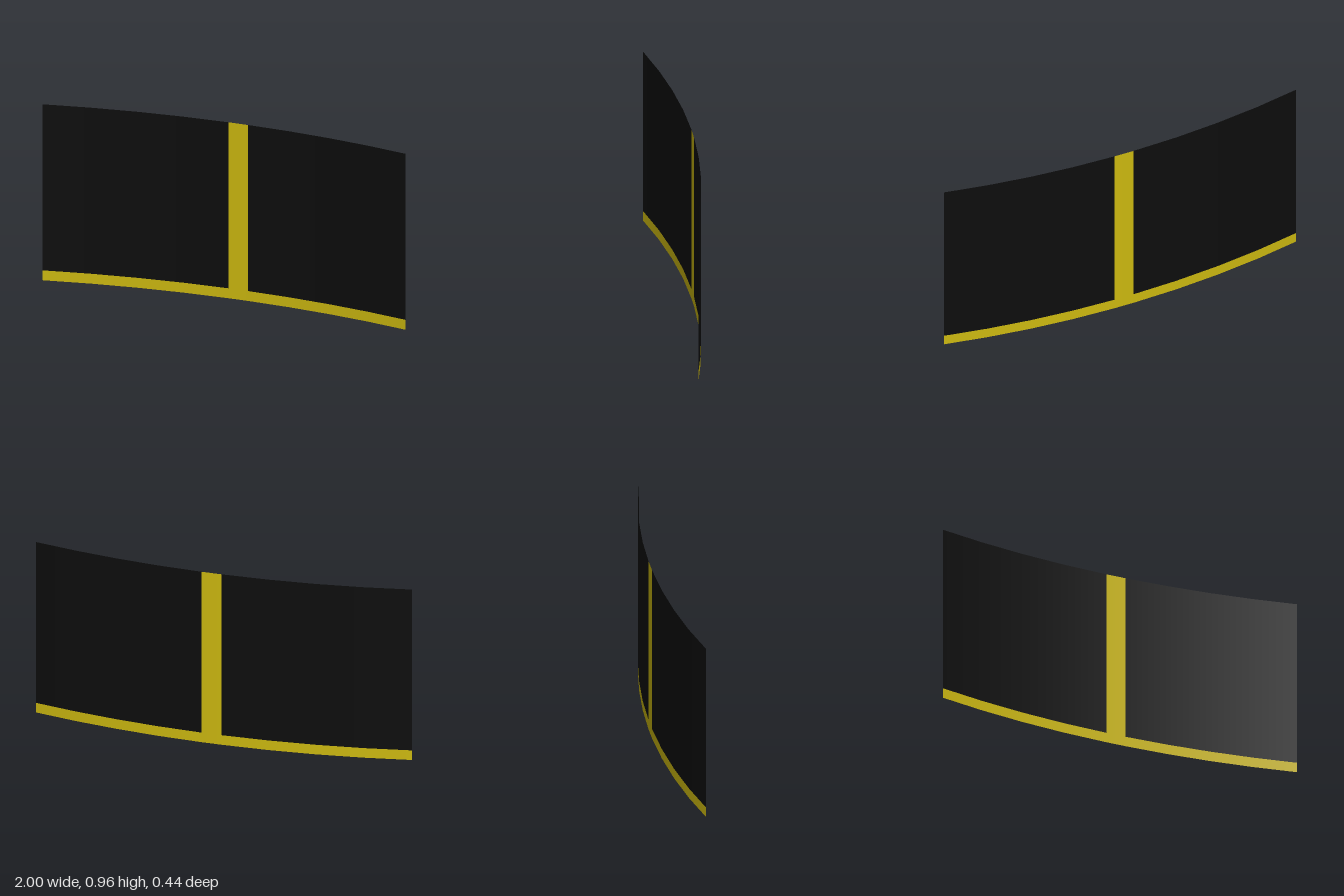
import * as THREE from 'three';

// The sheet is an arc of a large upright cylinder, tangent to x at its left end.
const RADIUS = 4.77;
const CENTRE_X = 1;
const CENTRE_Z = RADIUS - 0.22;
const HEIGHT = 0.96;
const BORDER = 0.054;
const STRIPE = [-0.045, 0.062];

export function createModel() {
  const group = new THREE.Group();
  group.name = 'curvedPanel';

  const black = new THREE.MeshStandardMaterial({ color: 0x0d0d0d, side: THREE.DoubleSide });
  black.name = 'black';
  const yellow = new THREE.MeshStandardMaterial({ color: 0xcdb910, side: THREE.DoubleSide });
  yellow.name = 'yellow';

  const angleAt = (x) => Math.PI + Math.asin((CENTRE_X - x) / RADIUS);

  // One rectangular patch of the curved sheet
  function addPatch(name, material, x0, x1, y0, y1, segments) {
    const start = angleAt(x1);
    const geometry = new THREE.CylinderGeometry(
      RADIUS, RADIUS, y1 - y0, segments, 1, true, start, angleAt(x0) - start);
    const mesh = new THREE.Mesh(geometry, material);
    mesh.name = name;
    mesh.position.set(CENTRE_X, (y0 + y1) / 2, CENTRE_Z);
    group.add(mesh);
  }

  const [s0, s1] = STRIPE;

  // Dark panels either side of the upright stripe
  addPatch('rightPanel', black, -1, s0, BORDER, HEIGHT, 4);
  addPatch('leftPanel', black, s1, 1, BORDER, HEIGHT, 4);

  // Upright stripe
  addPatch('uprightStripe', yellow, s0, s1, BORDER, HEIGHT, 1);

  // Bottom border, split to meet the patches above
  addPatch('rightBorder', yellow, -1, s0, 0, BORDER, 4);
  addPatch('middleBorder', yellow, s0, s1, 0, BORDER, 1);
  addPatch('leftBorder', yellow, s1, 1, 0, BORDER, 4);

  return group;
}
